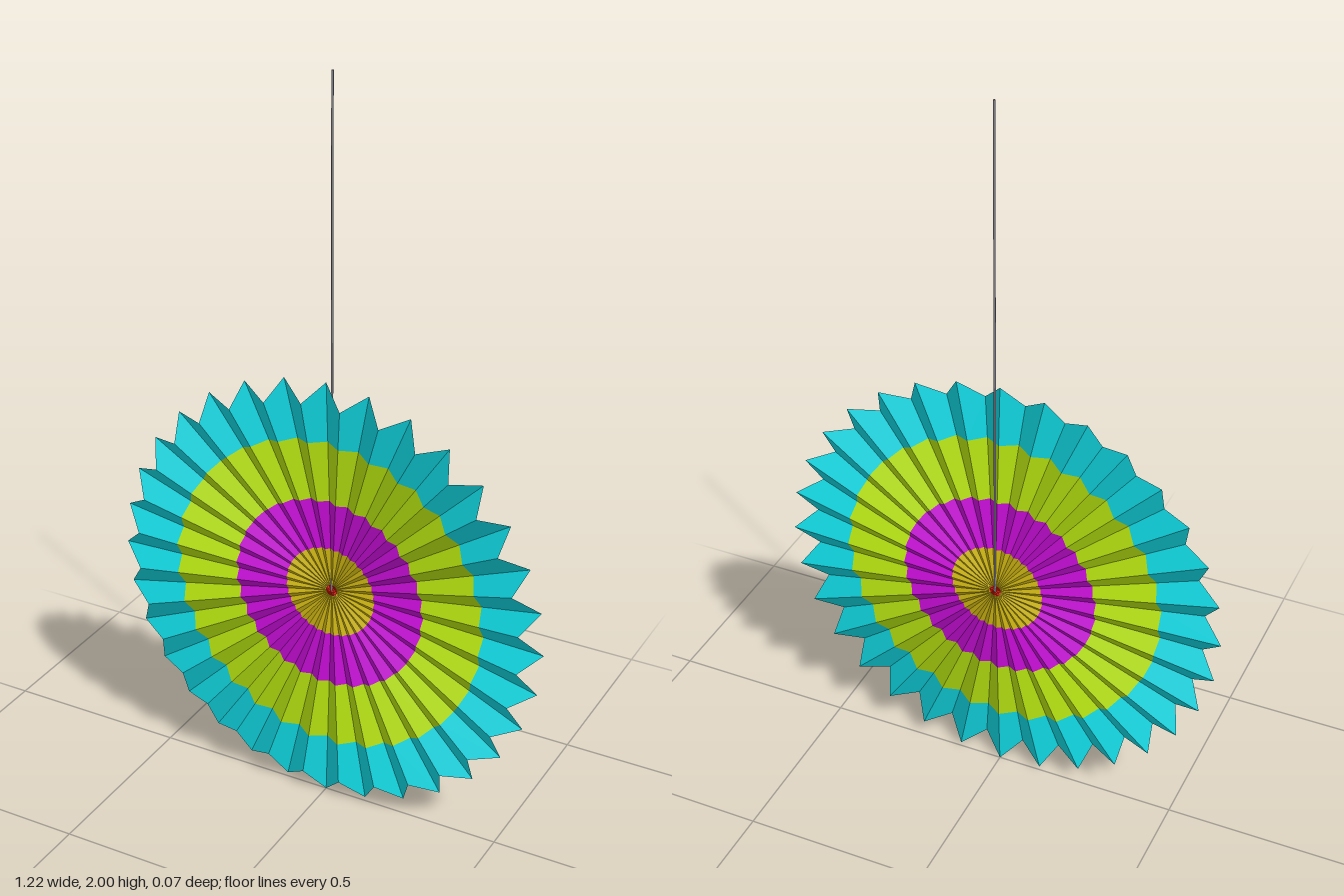
import * as THREE from 'three';

const PLEATS = 32;
const CENTER_Y = 0.61;
const BACK_Z = -0.031;
const TIP = { r: 0.61, z: 0 };
const VALLEY = { r: 0.555, z: 0.032 };

function paper(name, color) {
  const m = new THREE.MeshStandardMaterial({ color });
  m.name = name;
  m.side = THREE.DoubleSide;
  m.flatShading = true;
  return m;
}

// Point on fold line i (even = ridge to a tip, odd = valley), at radius r
function foldPoint(i, r) {
  const end = i % 2 === 0 ? TIP : VALLEY;
  const radius = Math.min(r, end.r);
  const a = Math.PI / 2 + (i * Math.PI) / PLEATS;
  const z = BACK_Z + ((end.z - BACK_Z) * radius) / end.r;
  return [radius * Math.cos(a), radius * Math.sin(a), z];
}

// One coloured ring of the pleated fan
function pleatedRing(inner, outer) {
  const pos = [];
  for (let i = 0; i < PLEATS * 2; i++) {
    const a = foldPoint(i, inner), b = foldPoint(i, outer);
    const c = foldPoint(i + 1, outer), d = foldPoint(i + 1, inner);
    pos.push(...a, ...b, ...c);
    if (inner > 0) pos.push(...a, ...c, ...d);
  }
  const g = new THREE.BufferGeometry();
  g.setAttribute('position', new THREE.Float32BufferAttribute(pos, 3));
  g.computeVertexNormals();
  return g;
}

export function createModel() {
  const model = new THREE.Group();
  model.name = 'hangingPaperFan';

  // Folded paper rosette
  const fan = new THREE.Group();
  fan.name = 'pleatedFan';
  fan.position.y = CENTER_Y;
  const rings = [
    ['centerDot', 0, 0.016, paper('red paper', 0xf02010)],
    ['innerRing', 0.016, 0.128, paper('yellow paper', 0xcdb512)],
    ['magentaRing', 0.128, 0.271, paper('magenta paper', 0xc50dd5)],
    ['limeRing', 0.271, 0.443, paper('lime paper', 0xb4e010)],
    ['outerRing', 0.443, 0.61, paper('turquoise paper', 0x10d5e0)],
  ];
  for (const [name, inner, outer, material] of rings) {
    const mesh = new THREE.Mesh(pleatedRing(inner, outer), material);
    mesh.name = name;
    fan.add(mesh);
  }
  model.add(fan);

  // Hanging string from the middle of the back
  const thread = new THREE.MeshStandardMaterial({ color: 0x80808a });
  thread.name = 'grey thread';
  const length = 2 - CENTER_Y;
  const string = new THREE.Mesh(new THREE.CylinderGeometry(0.003, 0.003, length, 8), thread);
  string.name = 'hangingString';
  string.position.set(0, CENTER_Y + length / 2, BACK_Z);
  model.add(string);

  return model;
}
